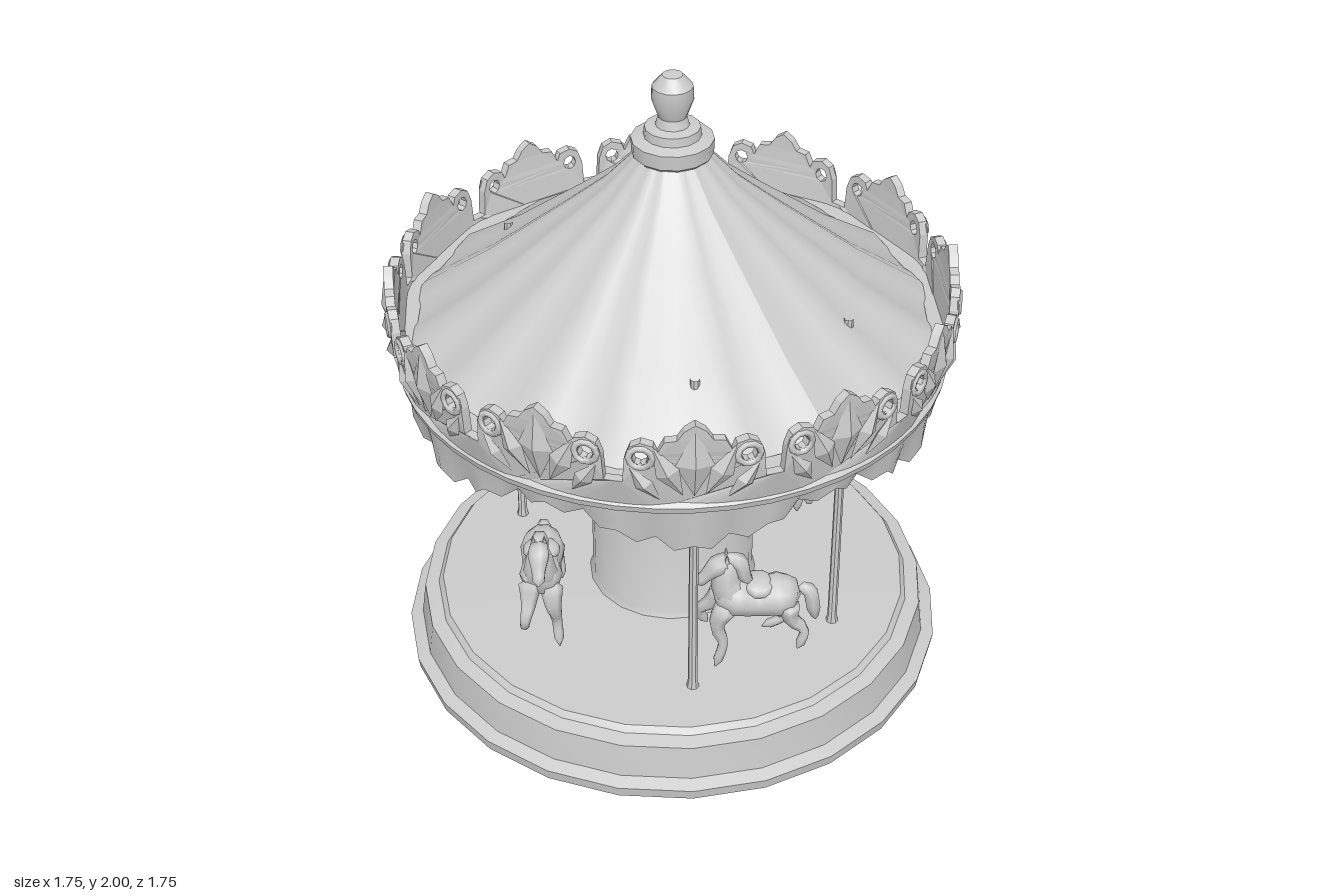
import * as THREE from 'three';
import { toCreasedNormals } from 'three/addons/utils/BufferGeometryUtils.js';

const grey = new THREE.MeshStandardMaterial({ color: 0xcccccc });
const thin = new THREE.MeshStandardMaterial({ color: 0xcccccc, side: THREE.DoubleSide });

function part(parent, name, geometry, material = grey) {
  const mesh = new THREE.Mesh(geometry, material);
  mesh.name = name;
  parent.add(mesh);
  return mesh;
}

// Turned part from [radius, height] pairs, listed from bottom to top
function turned(profile, sides, crease = 0.6) {
  const points = profile.map(([r, y]) => new THREE.Vector2(r, y));
  return toCreasedNormals(new THREE.LatheGeometry(points, sides), crease);
}

// Change every vertex by a rule
function reshape(geometry, rule) {
  const pos = geometry.attributes.position;
  const v = new THREE.Vector3();
  for (let i = 0; i < pos.count; i++) {
    v.fromBufferAttribute(pos, i);
    rule(v);
    pos.setXYZ(i, v.x, v.y, v.z);
  }
  geometry.computeVertexNormals();
  return geometry;
}

// Tube through the points whose radius follows the list; thickness of both ends is closed to a tip
function limb(points, radii, sides = 7) {
  const curve = new THREE.CatmullRomCurve3(points.map((p) => new THREE.Vector3(...p)));
  const rings = (radii.length - 1) * 3;
  const geometry = new THREE.TubeGeometry(curve, rings, 1, sides, false);
  const pos = geometry.attributes.position;
  const v = new THREE.Vector3();
  for (let i = 0; i < pos.count; i++) {
    const ring = Math.floor(i / (sides + 1));
    const s = (ring / rings) * (radii.length - 1);
    const k = Math.min(Math.floor(s), radii.length - 2);
    const radius = ring === 0 || ring === rings ? 0.002 : THREE.MathUtils.lerp(radii[k], radii[k + 1], s - k);
    const centre = curve.getPointAt(ring / rings);
    v.fromBufferAttribute(pos, i).sub(centre).multiplyScalar(radius).add(centre);
    pos.setXYZ(i, v.x, v.y, v.z);
  }
  geometry.computeVertexNormals();
  return geometry;
}

// Galloping horse, head towards local +x
function createHorse() {
  const horse = new THREE.Group();
  part(horse, 'body', limb([[-0.14, 0.44, 0], [-0.08, 0.45, 0], [0, 0.44, 0], [0.07, 0.455, 0], [0.13, 0.47, 0]],
    [0.045, 0.07, 0.06, 0.067, 0.04], 10));
  part(horse, 'neck', limb([[0.06, 0.44, 0], [0.09, 0.51, 0], [0.09, 0.57, 0], [0.105, 0.6, 0]],
    [0.06, 0.052, 0.04, 0.02], 8));
  part(horse, 'head', limb([[0.075, 0.59, 0], [0.11, 0.575, 0], [0.15, 0.535, 0], [0.18, 0.5, 0]],
    [0.028, 0.034, 0.022, 0.017]));
  part(horse, 'mane', limb([[0.1, 0.605, 0], [0.05, 0.58, 0], [0.035, 0.53, 0], [0.01, 0.49, 0]],
    [0.015, 0.028, 0.025, 0.012], 6));
  part(horse, 'tail', limb([[-0.13, 0.47, 0], [-0.165, 0.46, 0], [-0.18, 0.4, 0], [-0.19, 0.34, 0]],
    [0.018, 0.025, 0.024, 0.008], 6));
  part(horse, 'saddle', new THREE.SphereGeometry(0.06, 10, 6).scale(0.9, 0.5, 1).translate(-0.01, 0.49, 0));
  const legs = [
    ['frontLegReaching', [[0.09, 0.46], [0.14, 0.39], [0.17, 0.36], [0.14, 0.3]], 1],
    ['frontLegHanging', [[0.08, 0.45], [0.12, 0.37], [0.1, 0.3], [0.125, 0.21]], -1],
    ['hindLegForward', [[-0.09, 0.45], [-0.07, 0.37], [-0.1, 0.32], [-0.03, 0.27]], 1],
    ['hindLegBack', [[-0.1, 0.45], [-0.11, 0.38], [-0.15, 0.34], [-0.13, 0.27]], -1],
  ];
  for (const [name, path, side] of legs) {
    part(horse, name, limb(path.map(([x, y], i) => [x, y, side * (0.03 + i * 0.008)]),
      [0.042, 0.026, 0.016, 0.015], 6));
  }
  for (const side of [-1, 1]) {
    part(horse, 'ear', new THREE.ConeGeometry(0.01, 0.035, 5).translate(0.09, 0.61, side * 0.017));
  }
  return horse;
}

// One crown ornament: pointed leaf between two pierced curls, bent round the rim
function createCrest() {
  const half = [[0.227, 1.2], [0.2, 1.2], [0.195, 1.28], [0.18, 1.32], [0.15, 1.335], [0.115, 1.325], [0.105, 1.3],
    [0.085, 1.34], [0.05, 1.345], [0.03, 1.375]];
  const shape = new THREE.Shape();
  shape.moveTo(-0.227, 1.09);
  for (let i = -3; i <= 4; i++) shape.lineTo((i * 0.227) / 4, 1.09);
  half.forEach(([x, y]) => shape.lineTo(x, y));
  shape.lineTo(0, 1.395);
  [...half].reverse().forEach(([x, y]) => shape.lineTo(-x, y));
  for (const side of [-1, 1]) {
    const hole = new THREE.Path();
    hole.absellipse(side * 0.15, 1.285, 0.022, 0.024, 0, Math.PI * 2, true);
    shape.holes.push(hole);
  }
  const bend = (v) => {
    const radius = 0.8 + 0.03 * THREE.MathUtils.smoothstep(v.y, 1.09, 1.22) + v.z;
    const angle = v.x / 0.865;
    v.set(radius * Math.sin(angle), v.y, radius * Math.cos(angle));
  };
  const crest = new THREE.Group();
  const plate = new THREE.ExtrudeGeometry(shape, { depth: 0.028, bevelEnabled: false, curveSegments: 4 });
  part(crest, 'crestPlate', reshape(plate, bend));
  // Raised leaf blades on the face: [x, y, width, height, tilt]
  const blades = [[0, 1.26, 0.055, 0.12, 0], [0.075, 1.235, 0.035, 0.1, -0.45], [-0.075, 1.235, 0.035, 0.1, 0.45],
    [0.14, 1.19, 0.028, 0.08, -0.6], [-0.14, 1.19, 0.028, 0.08, 0.6]];
  for (const [x, y, w, h, tilt] of blades) {
    const blade = new THREE.OctahedronGeometry(1, 0).scale(w, h, 0.018).rotateZ(tilt).translate(x, y, 0.026);
    part(crest, 'leafBlade', reshape(blade, bend));
  }
  // Curl rims
  for (const side of [-1, 1]) {
    const curl = new THREE.TorusGeometry(0.033, 0.011, 5, 10).translate(side * 0.15, 1.285, 0.025);
    part(crest, 'curl', reshape(curl, bend));
  }
  return crest;
}

export function createModel() {
  const model = new THREE.Group();
  model.name = 'carousel';

  // Stepped platform and centre column
  part(model, 'platform', turned([[0, 0], [0.865, 0], [0.87, 0.035], [0.83, 0.05], [0.815, 0.16], [0.77, 0.17],
    [0.755, 0.19], [0, 0.2]], 24));
  part(model, 'column', turned([[0.275, 0.19], [0.262, 0.215], [0.258, 0.92], [0.275, 0.925], [0.272, 0.945],
    [0.24, 0.96], [0.2, 1.04], [0.2, 1.6]], 20));

  // Pleated roof
  const roof = new THREE.LatheGeometry([[0.8, 1.16], [0.78, 1.19], [0.57, 1.335], [0.33, 1.53], [0.2, 1.64], [0.1, 1.75]]
    .map(([r, y]) => new THREE.Vector2(r, y)), 64);
  reshape(roof, (v) => {
    const r = Math.hypot(v.x, v.z);
    v.y += 0.022 * r * Math.cos(16 * Math.atan2(v.x, v.z));
  });
  part(model, 'roof', roof, thin);
  part(model, 'finial', turned([[0.1, 1.73], [0.12, 1.75], [0.122, 1.795], [0.085, 1.805], [0.082, 1.832],
    [0.05, 1.838], [0.042, 1.865], [0.062, 1.92], [0.06, 1.96], [0.03, 1.995], [0, 2]], 14));

  // Rim moulding and the twelve crown ornaments
  part(model, 'rimMoulding', turned([[0.79, 1.1], [0.8, 1.08], [0.835, 1.08], [0.84, 1.1], [0.82, 1.115]], 48), thin);
  part(model, 'rimLedge', turned([[0.825, 1.19], [0.77, 1.19]], 48), thin);
  for (let i = 0; i < 12; i++) {
    const crest = createCrest();
    crest.name = 'crownOrnament';
    crest.rotation.y = (i * Math.PI) / 6;
    model.add(crest);
  }

  // Scalloped valance with a jagged hem
  const valance = new THREE.CylinderGeometry(0.82, 0.82, 1, 96, 4, true);
  reshape(valance, (v) => {
    const angle = Math.atan2(v.x, v.z);
    const t = 0.5 - v.y;
    const jag = 0.014 * Math.cos(48 * angle);
    const hem = 0.982 + 0.048 * Math.cos(6 * angle) + jag;
    const radius = 0.825 - 0.02 * t + 0.014 * t * Math.cos(24 * angle);
    v.set(radius * Math.sin(angle), THREE.MathUtils.lerp(1.1, hem, t), radius * Math.cos(angle));
  });
  part(model, 'valance', valance, thin);

  // Four poles with spindle-shaped heads
  const poleGeometry = turned([[0.02, 0.19], [0.015, 0.22], [0.014, 0.8], [0.018, 0.85], [0.042, 0.92], [0.038, 0.95],
    [0.02, 1.0], [0.014, 1.06], [0.014, 1.35]], 8);
  for (const x of [-0.27, 0.27]) {
    for (const z of [-0.51, 0.51]) part(model, 'pole', poleGeometry).position.set(x, 0, z);
  }

  // Four horses: [x, z, heading x, heading z]
  const places = [[0.5, -0.01, 0.55, -0.83], [-0.5, 0.01, -0.55, 0.83], [-0.04, 0.51, -0.85, -0.5], [0.04, -0.51, 0.85, 0.5]];
  for (const [x, z, hx, hz] of places) {
    const horse = createHorse();
    horse.name = 'horse';
    horse.position.set(x, 0, z);
    horse.rotation.y = Math.atan2(-hz, hx);
    model.add(horse);
  }
  return model;
}
